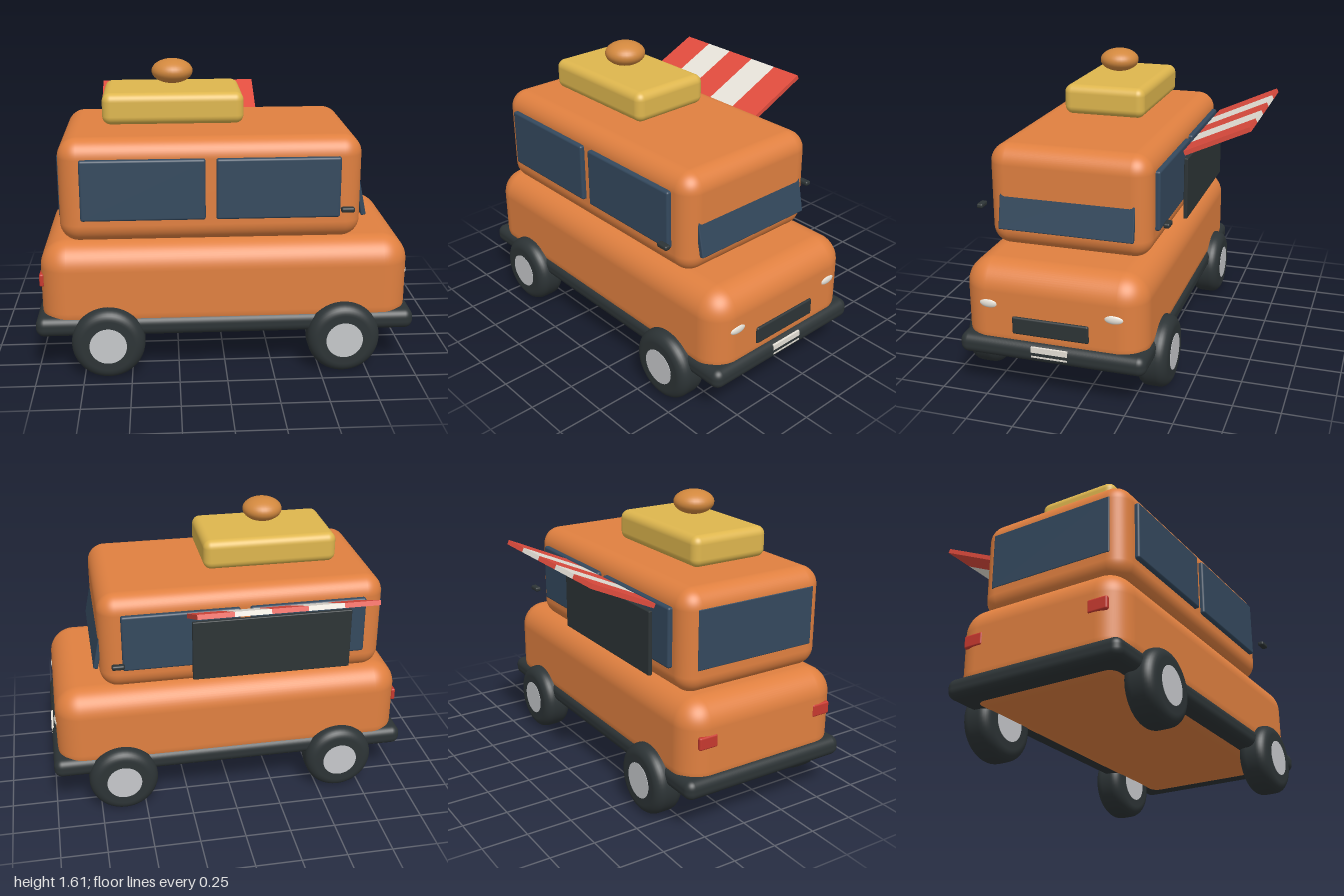
import * as THREE from 'three';
import { RoundedBoxGeometry } from 'three/addons/geometries/RoundedBoxGeometry.js';

const mat = (name, color) => {
  const m = new THREE.MeshStandardMaterial({ color });
  m.name = name;
  return m;
};

export function createModel() {
  const orange = mat('orange paint', 0xe08040);
  const glass = mat('blue glass', 0x34495e);
  const dark = mat('dark rubber', 0x2d3436);
  const red = mat('awning red', 0xe04c3e);
  const white = mat('cream white', 0xefeae0);
  const yellow = mat('yellow', 0xdeb64e);
  const brown = mat('golden brown', 0xd2883e);
  const grey = mat('hub grey', 0xc6c8cb);
  const lampRed = mat('lamp red', 0xc8392f);

  const CZ = 0.147; // centre line of the vehicle, offset by the open awning
  const model = new THREE.Group();
  model.name = 'foodTruck';

  const add = (parent, name, geometry, material, x, y, z) => {
    const mesh = new THREE.Mesh(geometry, material);
    mesh.name = name;
    mesh.position.set(x, y, z);
    parent.add(mesh);
    return mesh;
  };
  // Rounded box given by its extents on each axis
  const block = (name, material, [x0, x1], [y0, y1], [z0, z1], r, seg = 6) =>
    add(model, name, new RoundedBoxGeometry(x1 - x0, y1 - y0, z1 - z0, seg, r), material,
      (x0 + x1) / 2, (y0 + y1) / 2, (z0 + z1) / 2);
  const across = (half) => [CZ - half, CZ + half];

  // Body shells and the bumper that wraps around them
  block('lowerBody', orange, [-0.97, 0.97], [0.207, 0.717], across(0.487), 0.14, 8);
  block('cabin', orange, [-0.86, 0.71], [0.712, 1.26], across(0.437), 0.1, 8);
  block('bumper', dark, [-1, 1], [0.217, 0.325], across(0.5), 0.045);

  // Side windows, mirrors, headlights and tail lights, mirrored about the centre line
  for (const s of [1, -1]) {
    for (const x of [-0.425, 0.27]) {
      add(model, 'sideWindow', new RoundedBoxGeometry(0.64, 0.32, 0.05, 3, 0.012), glass,
        x, 1.004, CZ + s * 0.437);
    }
    add(model, 'mirror', new RoundedBoxGeometry(0.07, 0.026, 0.035, 3, 0.01), dark,
      0.618, 0.902, CZ + s * 0.511);
    const lamp = add(model, 'headlight', new THREE.SphereGeometry(1, 24, 16), white,
      0.962, 0.508, CZ + s * 0.332);
    lamp.scale.set(0.016, 0.026, 0.052);
    add(model, 'tailLight', new RoundedBoxGeometry(0.025, 0.07, 0.11, 3, 0.01), lampRed,
      -0.963, 0.512, CZ + s * 0.365);
  }

  // Raked windscreen sinking into the cabin, and a flush rear window
  const screen = add(model, 'windscreen', new RoundedBoxGeometry(0.026, 0.32, 0.73, 2, 0.006),
    glass, 0.7, 0.979, CZ);
  screen.rotation.z = 0.2;
  add(model, 'rearWindow', new RoundedBoxGeometry(0.03, 0.32, 0.72, 2, 0.006), glass,
    -0.847, 1.01, CZ);

  // Grille and number plate
  block('grille', dark, [0.95, 0.982], [0.36, 0.455], across(0.204), 0.01, 3);
  for (const [y, h] of [[0.295, 0.03], [0.258, 0.01]]) {
    add(model, 'plateStrip', new THREE.BoxGeometry(0.02, h, 0.195), white, 0.991, y, CZ);
  }

  // Wheels: rounded tyre turned around its axle, with a hub showing on both faces
  const tyreProfile = [];
  const R = 0.192, W = 0.084, r = 0.055;
  tyreProfile.push(new THREE.Vector2(0.06, -W));
  for (const [side, from] of [[-1, -Math.PI / 2], [1, 0]]) {
    for (let i = 0; i <= 8; i++) {
      const a = from + (i / 8) * Math.PI / 2;
      tyreProfile.push(new THREE.Vector2(R - r + r * Math.cos(a), side * (W - r) + r * Math.sin(a)));
    }
  }
  tyreProfile.push(new THREE.Vector2(0.06, W));
  const tyreGeo = new THREE.LatheGeometry(tyreProfile, 48);
  const hubGeo = new THREE.CylinderGeometry(0.097, 0.097, 2 * W + 0.004, 36);
  for (const x of [-0.62, 0.62]) {
    for (const s of [1, -1]) {
      const wheel = new THREE.Group();
      wheel.name = 'wheel';
      wheel.position.set(x, R, CZ + s * 0.472);
      wheel.rotation.x = Math.PI / 2;
      add(wheel, 'tyre', tyreGeo, dark, 0, 0, 0);
      add(wheel, 'hub', hubGeo, grey, 0, 0, 0);
      model.add(wheel);
    }
  }

  // Serving hatch with a striped awning raised above it
  block('servingHatch', dark, [-0.65, 0.22], [0.785, 1.128], [-0.367, -0.345], 0.005, 2);
  const awning = new THREE.Group();
  awning.name = 'awning';
  awning.position.set(-0.217, 1.243, -0.524);
  awning.rotation.x = 0.43;
  const stripe = 0.185;
  for (let i = 0; i < 5; i++) {
    add(awning, 'awningStripe', new THREE.BoxGeometry(stripe, 0.025, 0.382),
      i % 2 ? white : red, (i - 2) * stripe, 0, 0);
  }
  model.add(awning);

  // Roof sign with a bun-shaped topper
  block('roofSign', yellow, [-0.632, 0.108], [1.29, 1.456], across(0.231), 0.045);
  const topper = add(model, 'roofTopper', new THREE.SphereGeometry(0.11, 32, 20), brown,
    -0.262, 1.541, 0.165);
  topper.scale.y = 0.59;

  return model;
}
